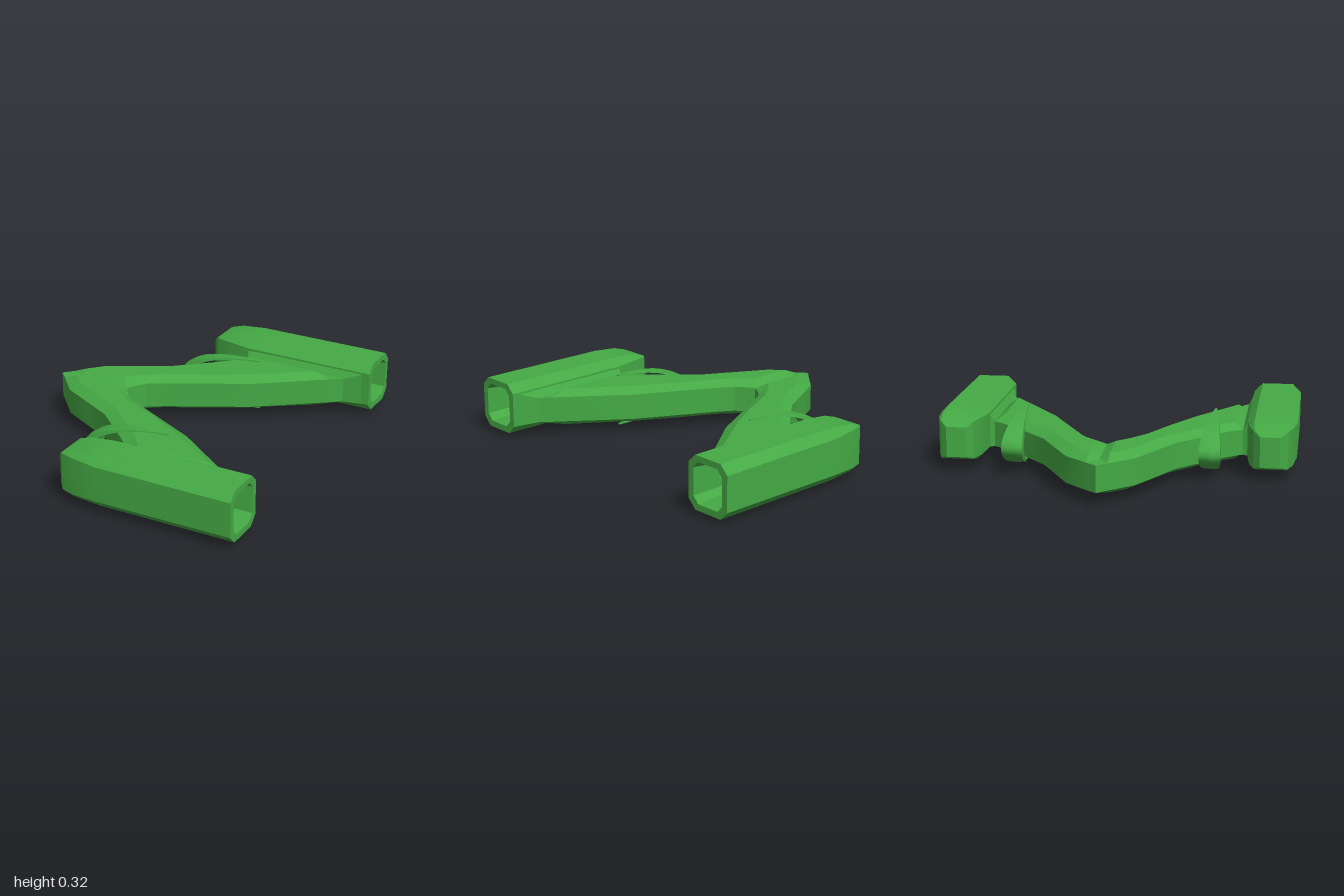
import * as THREE from 'three';
import { toCreasedNormals } from 'three/addons/utils/BufferGeometryUtils.js';

const green = new THREE.MeshStandardMaterial({ color: 0x45aa45 });

// Skins a row of equal-sized rings; side = -1 mirrors the result across z.
function loft(rings, side, { startCap = false, endCap = false } = {}) {
  const pos = [];
  const tri = (a, b, c) => {
    for (const p of side > 0 ? [a, b, c] : [a, c, b]) pos.push(p[0], p[1], p[2] * side);
  };
  for (let r = 0; r < rings.length - 1; r++) {
    const a = rings[r], b = rings[r + 1];
    for (let i = 0; i < a.length; i++) {
      const j = (i + 1) % a.length;
      tri(a[i], a[j], b[j]);
      tri(a[i], b[j], b[i]);
    }
  }
  const first = rings[0], last = rings[rings.length - 1];
  for (let i = 1; i < first.length - 1; i++) {
    if (startCap) tri(first[0], first[i + 1], first[i]);
    if (endCap) tri(last[0], last[i], last[i + 1]);
  }
  const geo = new THREE.BufferGeometry();
  geo.setAttribute('position', new THREE.Float32BufferAttribute(pos, 3));
  return toCreasedNormals(geo, 0.35);
}

function part(name, geometry) {
  const mesh = new THREE.Mesh(geometry, green);
  mesh.name = name;
  return mesh;
}

// Chamfered rectangle across the x axis.
const octagon = (x, z0, z1, y0, y1, c) => [
  [x, y1, z0 + c], [x, y1, z1 - c], [x, y1 - c, z1], [x, y0 + c, z1],
  [x, y0, z1 - c], [x, y0, z0 + c], [x, y0 + c, z0], [x, y1 - c, z0],
];

// Long pod: closed nose at -x, hollow tapering mouth at +x.
function pod(side) {
  return loft([
    octagon(-0.23, 0.805, 0.915, 0.08, 0.25, 0.003),
    octagon(-0.195, 0.768, 0.955, 0.063, 0.283, 0.006),
    octagon(-0.12, 0.743, 0.98, 0.045, 0.305, 0.025),
    octagon(0.03, 0.725, 1.0, 0.032, 0.318, 0.045),
    octagon(0.8, 0.725, 1.0, 0.03, 0.318, 0.048),
    octagon(0.8, 0.76, 0.965, 0.065, 0.285, 0.035),
    octagon(0.7, 0.77, 0.955, 0.075, 0.275, 0.032),
    octagon(0.2, 0.8, 0.925, 0.1, 0.25, 0.025),
  ], side, { startCap: true, endCap: true });
}

// Swept arm. Each station: leading edge, leading flat, trailing flat, trailing
// edge as [x, z], then the heights of the edges and of the flats.
const edge = [0.078, 0.222], flat = [0.045, 0.255];
const stations = [
  [[-0.805, 0], [-0.67, 0], [-0.42, 0], [-0.37, 0], edge, edge],
  [[-0.753, 0.055], [-0.67, 0.055], [-0.42, 0.055], [-0.335, 0.055], edge, flat],
  [[-0.64, 0.18], [-0.6, 0.13], [-0.355, 0.12], [-0.3, 0.1], edge, flat],
  [[-0.47, 0.27], [-0.44, 0.22], [-0.25, 0.2], [-0.21, 0.155], edge, flat],
  [[-0.3, 0.36], [-0.265, 0.315], [-0.03, 0.31], [0.005, 0.268], edge, flat],
  [[-0.07, 0.57], [-0.02, 0.53], [0.18, 0.43], [0.22, 0.38], edge, flat],
  [[0.005, 0.65], [0.08, 0.65], [0.5, 0.65], [0.583, 0.65], edge, flat],
  [[0.04, 0.7], [0.08, 0.7], [0.5, 0.7], [0.65, 0.7], edge, edge],
  [[0.03, 0.735], [0.08, 0.735], [0.6, 0.735], [0.795, 0.735], [0.075, 0.272], [0.07, 0.276]],
];
function arm(side) {
  const rings = stations.map(([L, LF, TF, T, e, f]) => {
    const at = (p, y) => [p[0], y, p[1]];
    return [at(T, e[0]), at(T, e[1]), at(TF, f[1]), at(LF, f[1]),
      at(L, e[1]), at(L, e[0]), at(LF, f[0]), at(TF, f[0])];
  });
  return loft(rings, side);
}

// Crescent strap curling round the arm, widest at its front, thin at its tips.
function strap(side) {
  const rings = [], steps = 32;
  for (let i = 0; i <= steps; i++) {
    const a = Math.PI * (0.5 + i / steps);
    const c = Math.cos(a), s = Math.sin(a);
    const w = 0.006 + 0.052 * Math.abs(c);
    const at = (rx, ry, dz) => [0.2 + rx * c, 0.15 + ry * s, 0.538 + dz];
    rings.push([at(0.43, 0.143, -w), at(0.43, 0.143, w), at(0.49, 0.149, w),
      at(0.5, 0.15, 0), at(0.49, 0.149, -w)]);
  }
  return loft(rings, side, { startCap: true, endCap: true });
}

export function createModel() {
  const model = new THREE.Group();
  model.name = 'sweptTwinPodFrame';
  for (const side of [1, -1]) {
    const half = new THREE.Group();
    half.name = side > 0 ? 'frontHalf' : 'rearHalf';
    half.add(part('pod', pod(side)), part('arm', arm(side)), part('strap', strap(side)));

    // Small rounded core at the bottom of the pod's mouth
    const core = part('podCore', new THREE.SphereGeometry(1, 20, 12));
    core.scale.set(0.08, 0.032, 0.042);
    core.position.set(0.2, 0.175, 0.862 * side);
    half.add(core);
    model.add(half);
  }
  return model;
}
